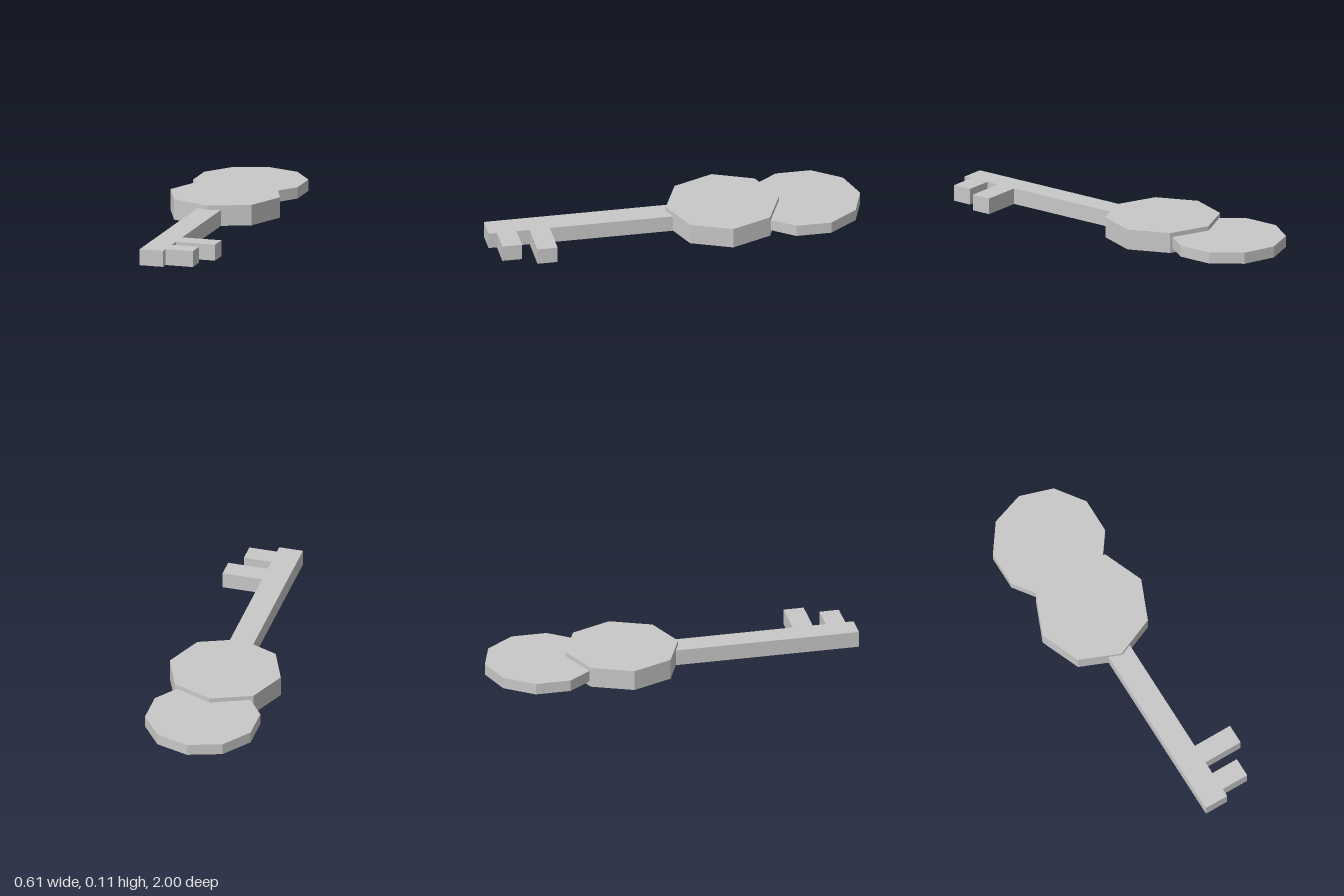
import * as THREE from 'three';

export function createModel() {
  const key = new THREE.Group();
  key.name = 'key';
  const metal = new THREE.MeshStandardMaterial({ color: 0xc8c8c8, flatShading: true });
  metal.name = 'pale grey metal';

  const add = (name, geometry, y, z) => {
    const mesh = new THREE.Mesh(geometry, metal);
    mesh.name = name;
    mesh.position.set(0, y, z);
    key.add(mesh);
  };

  // Flat many-sided plates forming the handle
  const plate = (name, radius, sides, bottom, top, z) =>
    add(name, new THREE.CylinderGeometry(radius, radius, top - bottom, sides), (bottom + top) / 2, z);
  plate('collarPlate', 0.303, 8, 0, 0.11, -0.263);
  plate('handlePlate', 0.303, 10, 0.025, 0.086, -0.697);

  // Shaft and its two teeth, drawn as one outline (x, z)
  const half = 0.065;
  const outline = [[-half, -0.1], [-half, 1], [half, 1]];
  for (const [reach, near, far] of [[0.215, 0.955, 0.85], [0.281, 0.78, 0.672]]) {
    outline.push([half, near], [reach, near], [reach, far], [half, far]);
  }
  outline.push([half, -0.1]);
  const shape = new THREE.Shape(outline.map(([x, z]) => new THREE.Vector2(x, z)));
  const shaft = new THREE.ExtrudeGeometry(shape, { depth: 0.086, bevelEnabled: false });
  shaft.rotateX(Math.PI / 2);
  add('shaftWithTeeth', shaft, 0.086, 0);

  return key;
}
